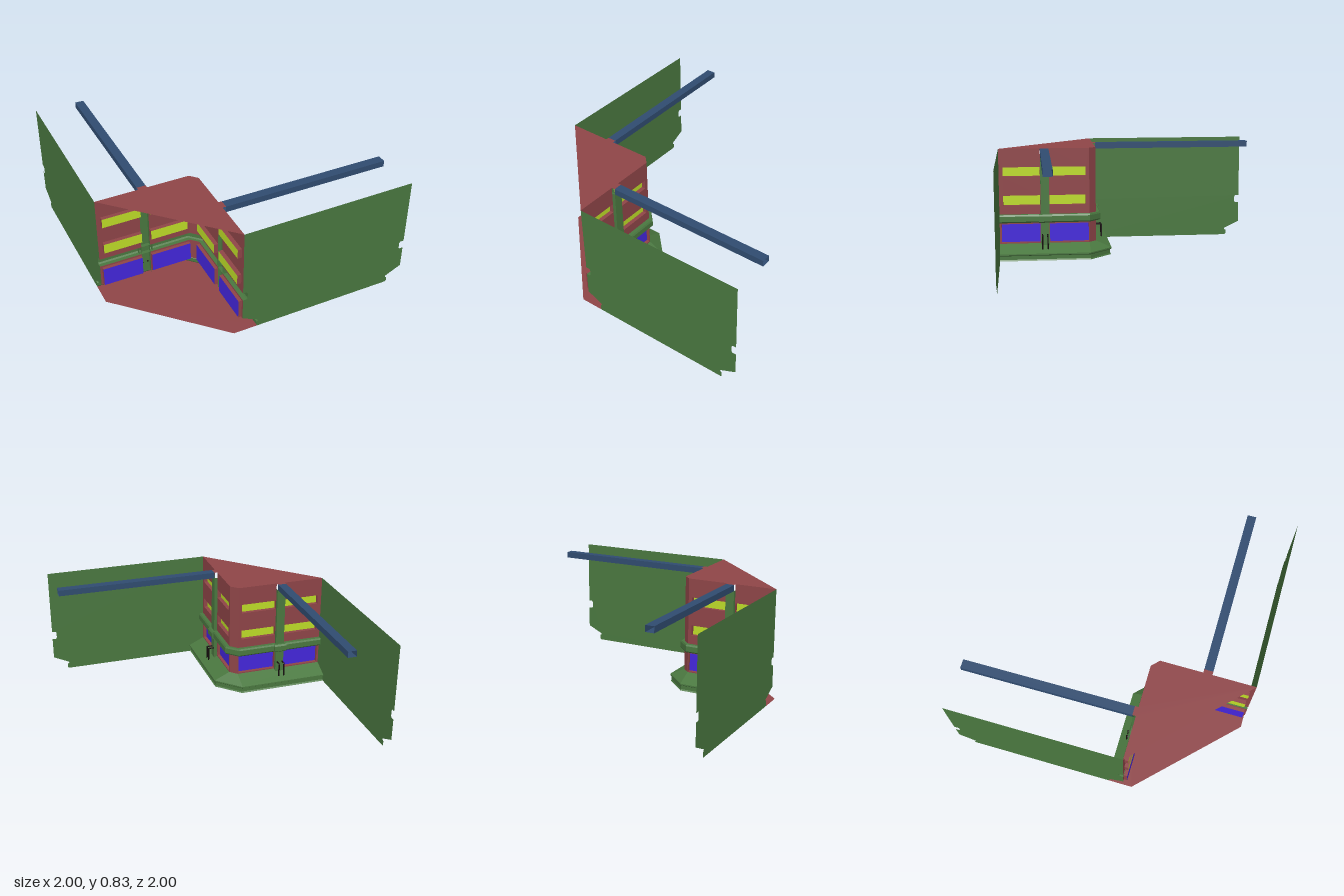
import * as THREE from 'three';

const mat = (color) => new THREE.MeshStandardMaterial({ color, side: THREE.DoubleSide, flatShading: true });
const RED = mat(0x8f4548), GREEN = mat(0x4a7840), BLUE = mat(0x4426dc),
  YELLOW = mat(0xbedd28), STEEL = mat(0x304c70), BLACK = mat(0x140c0c);

const FACE = 0.268, EDGE = -0.32, TOP = 0.835; // facade plane, start of corner chamfer, height
const PIL = [-0.69, -0.625];                   // pilaster sides

// Profiles as [outward offset, height]
const baseProfile = [[0.115, 0], [0.108, 0.01], [0.108, 0.038], [0.12, 0.045], [0.12, 0.055], [0.105, 0.062], [0, 0.112]];
const bandProfile = [[0, 0.275], [0.027, 0.275], [0.035, 0.285], [0.035, 0.325], [0.028, 0.337], [0, 0.337]];

function add(parent, name, geometry, material) {
  const mesh = new THREE.Mesh(geometry, material);
  mesh.name = name;
  parent.add(mesh);
  return mesh;
}

// Surface through a list of equally long cross-sections, flat shaded
function loft(sections) {
  const n = sections[0].length, index = [];
  for (let i = 0; i < sections.length - 1; i++) {
    for (let j = 0; j < n - 1; j++) {
      const a = i * n + j, b = a + n;
      index.push(a, a + 1, b, b, a + 1, b + 1);
    }
  }
  const g = new THREE.BufferGeometry();
  g.setAttribute('position', new THREE.Float32BufferAttribute(sections.flat(2), 3));
  g.setIndex(index);
  const flat = g.toNonIndexed();
  flat.computeVertexNormals();
  return flat;
}

const shapeOf = (pts) => new THREE.Shape(pts.map(([x, y]) => new THREE.Vector2(x, y)));

// Horizontal plate from [x, z] points
function plate(pts, y, up) {
  const s = up ? -1 : 1;
  return new THREE.ShapeGeometry(shapeOf(pts.map(([x, z]) => [x, s * z])))
    .rotateX(s * Math.PI / 2).translate(0, y, 0);
}

// Profile carried along one facade and half of the corner chamfer
function sweep(profile, start = -1) {
  const at = (f) => profile.map(([d, y]) => f(d, y));
  const mid = (EDGE + -FACE) / 2;
  return loft([
    at((d, y) => [start, y, FACE - d]),
    at((d, y) => [EDGE, y, FACE - d]),
    at((d, y) => [mid + d / 2, y, -mid - d / 2]),
  ]);
}

const rect = (x0, x1, y0, y1) => [[x0, y0], [x1, y0], [x1, y1], [x0, y1]];

// Wall panel with recessed windows; each window is [x0, x1, y0, y1]
function bay(parent, x0, x1, y0, y1, windows, depth, glass) {
  const wall = shapeOf(rect(-x0, -x1, y0, y1));
  for (const w of windows) {
    const r = rect(...w);
    wall.holes.push(new THREE.Path(r.map(([x, y]) => new THREE.Vector2(-x, y))));
    const loop = [...r, r[0]];
    add(parent, 'windowRecess', loft([
      loop.map(([x, y]) => [x, y, FACE]),
      loop.map(([x, y]) => [x, y, FACE + depth]),
    ]), RED);
    add(parent, 'windowPane', new THREE.PlaneGeometry(w[1] - w[0], w[3] - w[2])
      .rotateY(Math.PI).translate((w[0] + w[1]) / 2, (w[2] + w[3]) / 2, FACE + depth), glass);
  }
  add(parent, 'wallPanel', new THREE.ShapeGeometry(wall).rotateY(Math.PI).translate(0, 0, FACE), RED);
}

// One street side: facade, pilaster, pipes, beam and closing wall
function streetSide() {
  const g = new THREE.Group();
  g.name = 'streetSide';

  // Plinth, band and the red chamfer beside the bays
  add(g, 'plinth', sweep(baseProfile), GREEN);
  add(g, 'bandMoulding', sweep(bandProfile), GREEN);
  add(g, 'lowerCorner', sweep([[0, 0.112], [0, 0.275]], EDGE), RED);
  add(g, 'upperCorner', sweep([[0, 0.337], [0, TOP]], EDGE), RED);

  // Two bays either side of the pilaster
  const bays = [[-1, PIL[0], -0.97, PIL[0] - 0.002, -0.985], [PIL[1], EDGE, PIL[1] + 0.002, -0.347, -0.325]];
  bays.forEach(([x0, x1, w0, w1, b], i) => {
    const blue = i === 0 ? [b, x1 - 0.004] : [x0 + 0.004, b];
    bay(g, x0, x1, 0.112, 0.275, [[...blue, 0.12, 0.262]], 0.025, BLUE);
    bay(g, x0, x1, 0.337, TOP, [[w0, w1, 0.405, 0.48], [w0, w1, 0.625, 0.695]], 0.03, YELLOW);
  });

  // Channel-shaped pilaster and the band breaking forward around it
  const out = FACE - 0.025;
  add(g, 'pilaster', loft([0.09, 0.79].map((y) =>
    [[PIL[0], y, FACE], [PIL[0], y, out], [PIL[1], y, out], [PIL[1], y, FACE]])), GREEN);
  const collar = (x, k) => bandProfile.map(([d, y]) => [x, y, FACE - k * d]);
  add(g, 'bandCollar', loft([collar(-0.705, 0), collar(-0.705, 1.45), collar(-0.607, 1.45), collar(-0.607, 0)]), GREEN);

  // Pair of bent pipes dropping onto the plinth
  for (const x of [-0.68, -0.64]) {
    const path = new THREE.CurvePath();
    const p = [[0.18, FACE - 0.018], [0.18, 0.2], [0.075, 0.2]].map(([y, z]) => new THREE.Vector3(x, y, z));
    path.add(new THREE.LineCurve3(p[0], p[1]));
    path.add(new THREE.LineCurve3(p[1], p[2]));
    add(g, 'pipe', new THREE.TubeGeometry(path, 24, 0.006, 6), BLACK);
  }

  // Hollow overhead beam, drifting slightly sideways
  const ring = (cx, z) => {
    const r = rect(cx - 0.032, cx + 0.032, 0.79, TOP);
    return [...r, r[0]].map(([x, y]) => [x, y, z]);
  };
  add(g, 'overheadBeam', loft([ring(-0.658, out), ring(-0.665, -0.978)]), STEEL);

  // Closing wall cut to the facade profile at both ends
  const profile = [...baseProfile, ...bandProfile, [0, TOP]];
  const outline = [
    ...profile.map(([d, y]) => [FACE - d, y]),
    ...profile.map(([d, y]) => [-1 + d, y]).reverse(),
  ];
  add(g, 'closingWall', new THREE.ShapeGeometry(shapeOf(outline)).rotateY(-Math.PI / 2).translate(-1, 0, 0), GREEN);
  return g;
}

export function createModel() {
  const model = new THREE.Group();
  model.name = 'cornerBuilding';

  // Two sides mirrored across the diagonal
  const back = streetSide();
  const right = streetSide();
  right.scale.x = -1;
  right.rotation.y = -Math.PI / 2;
  model.add(back, right);

  // Roof and floor outlines, mirrored the same way
  const mirrored = (half) => [...half, ...half.map(([x, z]) => [-z, -x]).reverse()];
  const lip = FACE - 0.025;
  add(model, 'roof', plate(mirrored([[-1, FACE], [PIL[0], FACE], [PIL[0], lip], [PIL[1], lip],
    [PIL[1], FACE], [EDGE, FACE]]), TOP, true), RED);
  add(model, 'floor', plate(mirrored([[-1, 0.33], [-1, FACE - 0.115], [EDGE, FACE - 0.115]]), 0, false), RED);
  return model;
}
